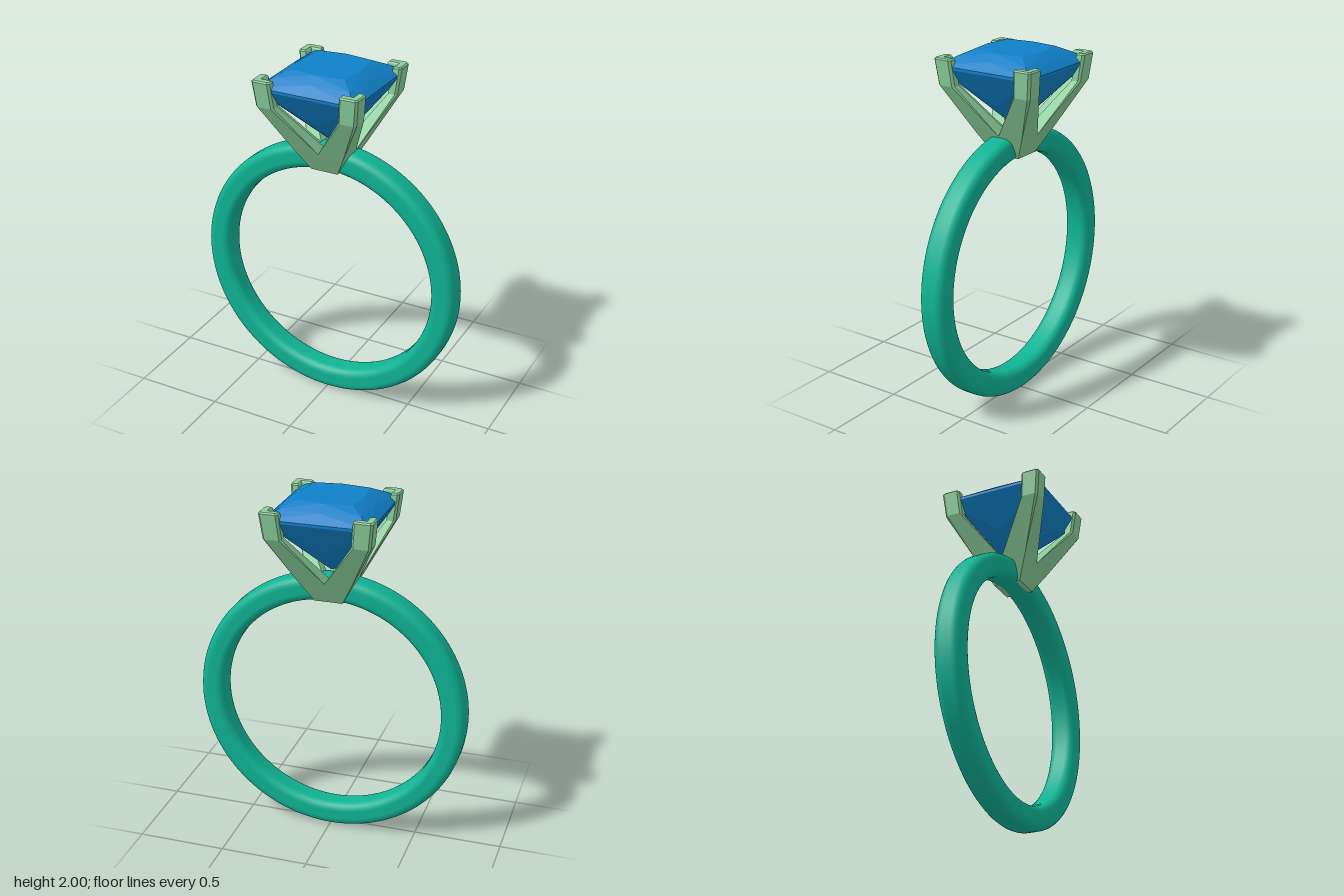
import * as THREE from 'three';
import { ConvexGeometry } from 'three/addons/geometries/ConvexGeometry.js';

// Rounded-rectangle band profile, revolved around the finger axis
function bandGeometry(inner, outer, halfWidth, corner) {
  const points = [];
  const corners = [
    [outer - corner, -halfWidth + corner, -0.5], [outer - corner, halfWidth - corner, 0],
    [inner + corner, halfWidth - corner, 0.5], [inner + corner, -halfWidth + corner, 1],
  ];
  for (const [r, z, start] of corners) {
    for (let k = 0; k <= 6; k++) {
      const a = (start + k / 12) * Math.PI;
      points.push(new THREE.Vector2(r + corner * Math.cos(a), z + corner * Math.sin(a)));
    }
  }
  points.push(points[0].clone());
  return new THREE.LatheGeometry(points, 128).rotateX(Math.PI / 2);
}

// L-shaped prong lofted through levels of [y, outer, inner end, notch, chamfer]
function prongGeometry(levels) {
  const loops = levels.map(([y, o, i, n, c]) => [
    [n, n], [n, i], [o - c, i], [o, i + c], [o, o - c],
    [o - c, o], [i + c, o], [i, o - c], [i, n],
  ].map(([x, z]) => [x, y, z]));
  const count = loops[0].length, index = [];
  for (let k = 0; k < loops.length - 1; k++) {
    for (let j = 0; j < count; j++) {
      const a = k * count + j, b = k * count + (j + 1) % count;
      index.push(a, a + count, b + count, a, b + count, b);
    }
  }
  const top = (loops.length - 1) * count;
  for (let j = 1; j < count - 1; j++) {
    index.push(0, j, j + 1, top, top + j + 1, top + j);
  }
  const g = new THREE.BufferGeometry();
  g.setAttribute('position', new THREE.Float32BufferAttribute(loops.flat(2), 3));
  g.setIndex(index);
  g.computeVertexNormals();
  return g;
}

// Square-cut stone as the hull of a few facet corners
function gemGeometry() {
  const points = [];
  // four corner points and four mid-side points per level: [y, corner, middle]
  const levels = [
    [2.0, 0.155, 0.175], [1.965, 0.222, 0.232], [1.92, 0.287, 0], [1.905, 0.287, 0],
    [1.715, 0, 0.165], [1.63, 0, 0.075], [1.578, 0.008, 0],
  ];
  for (const [y, c, m] of levels) {
    for (const s of [-1, 1]) {
      if (c) for (const t of [-1, 1]) points.push(new THREE.Vector3(s * c, y, t * c));
      if (m) points.push(new THREE.Vector3(s * m, y, 0), new THREE.Vector3(0, y, s * m));
    }
  }
  return new ConvexGeometry(points);
}

export function createModel() {
  const model = new THREE.Group();
  model.name = 'ring';
  const bandMat = new THREE.MeshStandardMaterial({ color: 0x0fb394 });
  const prongMat = new THREE.MeshStandardMaterial({ color: 0x88cc99, flatShading: true });
  const gemMat = new THREE.MeshStandardMaterial({ color: 0x1080c8, flatShading: true });

  // Band
  const band = new THREE.Mesh(bandGeometry(0.635, 0.775, 0.075, 0.045), bandMat);
  band.name = 'band';
  band.position.y = 0.775;
  model.add(band);

  // Four prongs meeting in the base of the setting
  const setting = new THREE.Group();
  setting.name = 'setting';
  const prong = prongGeometry([
    [1.415, 0.08, 0, 0, 0],
    [1.545, 0.15, 0, 0.06, 0],
    [1.815, 0.292, 0.187, 0.242, 0.012],
    [1.957, 0.308, 0.2, 0.262, 0.012],
    [1.965, 0.301, 0.207, 0.268, 0.01],
  ]);
  for (let k = 0; k < 4; k++) {
    const mesh = new THREE.Mesh(prong, prongMat);
    mesh.name = 'prong' + (k + 1);
    mesh.rotation.y = k * Math.PI / 2;
    setting.add(mesh);
  }
  model.add(setting);

  // Stone
  const gem = new THREE.Mesh(gemGeometry(), gemMat);
  gem.name = 'gemstone';
  model.add(gem);

  return model;
}
